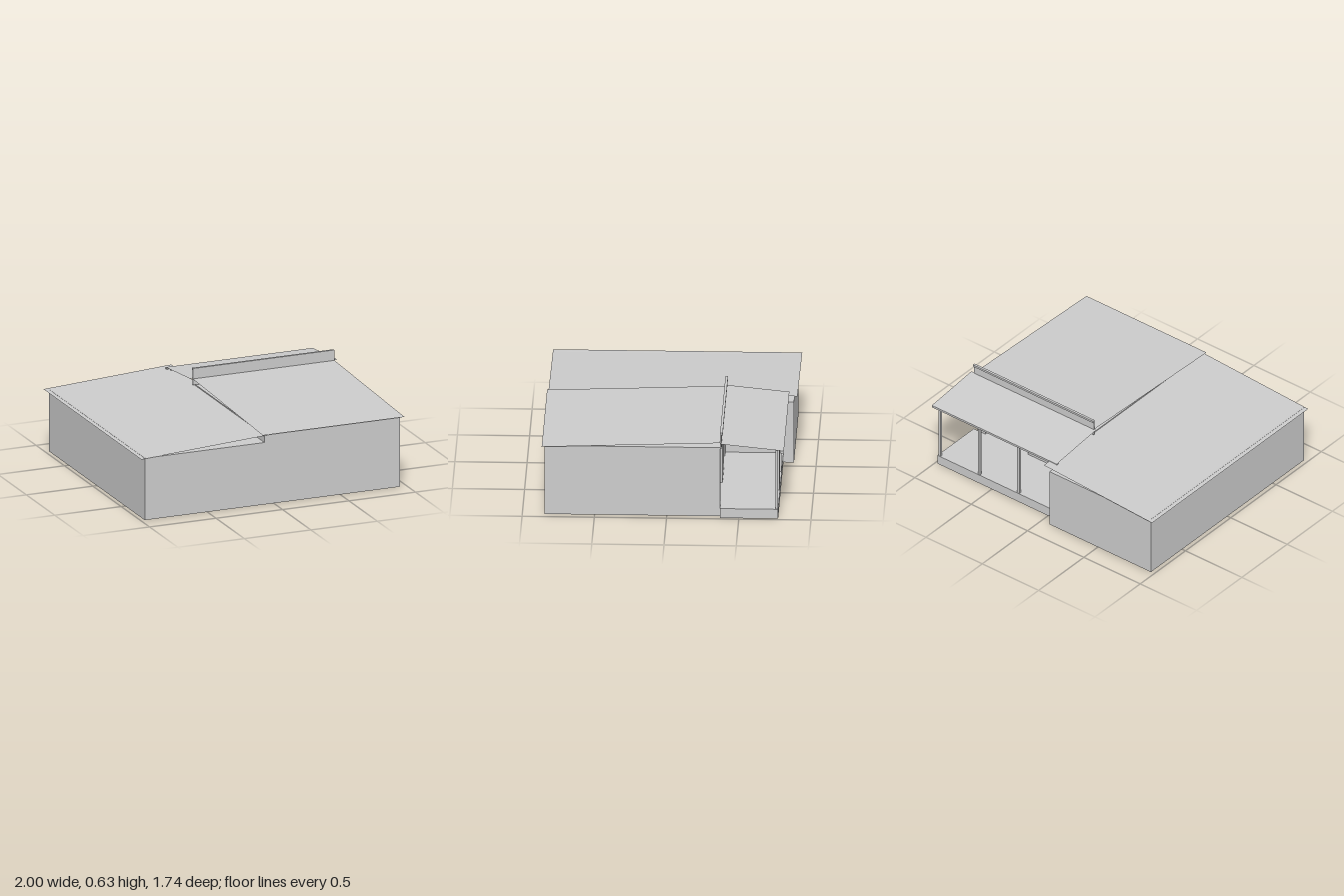
import * as THREE from 'three';

export function createModel() {
  const model = new THREE.Group();
  model.name = 'house';
  const grey = new THREE.MeshStandardMaterial({ color: 0xcccccc, side: THREE.DoubleSide });
  grey.name = 'plain grey';

  // Box given by its minimum and maximum corners
  function block(name, x0, x1, y0, y1, z0, z1) {
    const mesh = new THREE.Mesh(new THREE.BoxGeometry(x1 - x0, y1 - y0, z1 - z0), grey);
    mesh.position.set((x0 + x1) / 2, (y0 + y1) / 2, (z0 + z1) / 2);
    mesh.name = name;
    model.add(mesh);
  }

  // Thin sloping roof sheet; height(x, z) sets the slope
  function sheet(name, x0, x1, z0, z1, height) {
    const g = new THREE.PlaneGeometry(x1 - x0, z1 - z0).rotateX(-Math.PI / 2);
    g.translate((x0 + x1) / 2, 0, (z0 + z1) / 2);
    const p = g.attributes.position;
    for (let i = 0; i < p.count; i++) p.setY(i, height(p.getX(i), p.getZ(i)));
    g.computeVertexNormals();
    const mesh = new THREE.Mesh(g, grey);
    mesh.name = name;
    model.add(mesh);
  }

  // Low wing
  block('lowWing', -0.97, -0.07, 0, 0.45, -0.845, 0.845);

  // Tall wing, open towards the porch
  block('tallWingFloor', -0.07, 0.95, 0, 0.07, -0.37, 0.845);
  block('frontWall', -0.07, 0.95, 0.07, 0.51, 0.825, 0.845);
  block('leftWall', 0.93, 0.95, 0.07, 0.51, -0.37, 0.825);
  block('innerWall', -0.07, -0.05, 0.07, 0.51, -0.37, 0.825);
  block('ceiling', -0.05, 0.93, 0.495, 0.51, -0.37, 0.825);

  // Back wall pieces between the openings
  for (const [x0, x1] of [[0.88, 0.93], [0.24, 0.5], [-0.05, 0.0]])
    block('backWall', x0, x1, 0.07, 0.495, -0.37, -0.355);

  // Sloping roofs
  sheet('lowWingRoof', -1, -0.04, -0.87, 0.855, (x) => 0.447 + (x + 1) * 0.06);
  sheet('tallWingRoof', -0.09, 0.975, -0.375, 0.865, (x, z) => 0.51 + (0.865 - z) * 0.036);
  sheet('porchRoof', -0.107, 1, -0.812, -0.375, (x, z) => 0.511 + (z + 0.812) * 0.103);

  // Upstand between the two roofs, with a small cap lip
  block('upstand', -0.09, 0.975, 0.51, 0.63, -0.38, -0.37);
  block('upstandLip', -0.09, 0.975, 0.615, 0.63, -0.388, -0.38);

  // Porch deck, posts and edge beam
  block('porchDeck', -0.07, 0.983, 0, 0.07, -0.772, -0.37);
  for (let i = 0; i < 4; i++) {
    const x = 0.967 - i * 0.35;
    block('porchPost', x - 0.009, x + 0.009, i === 3 ? 0.45 : 0.07, 0.513, -0.77, -0.752);
  }
  block('porchEdgeBeam', -0.107, 1, 0.492, 0.51, -0.808, -0.79);

  return model;
}
